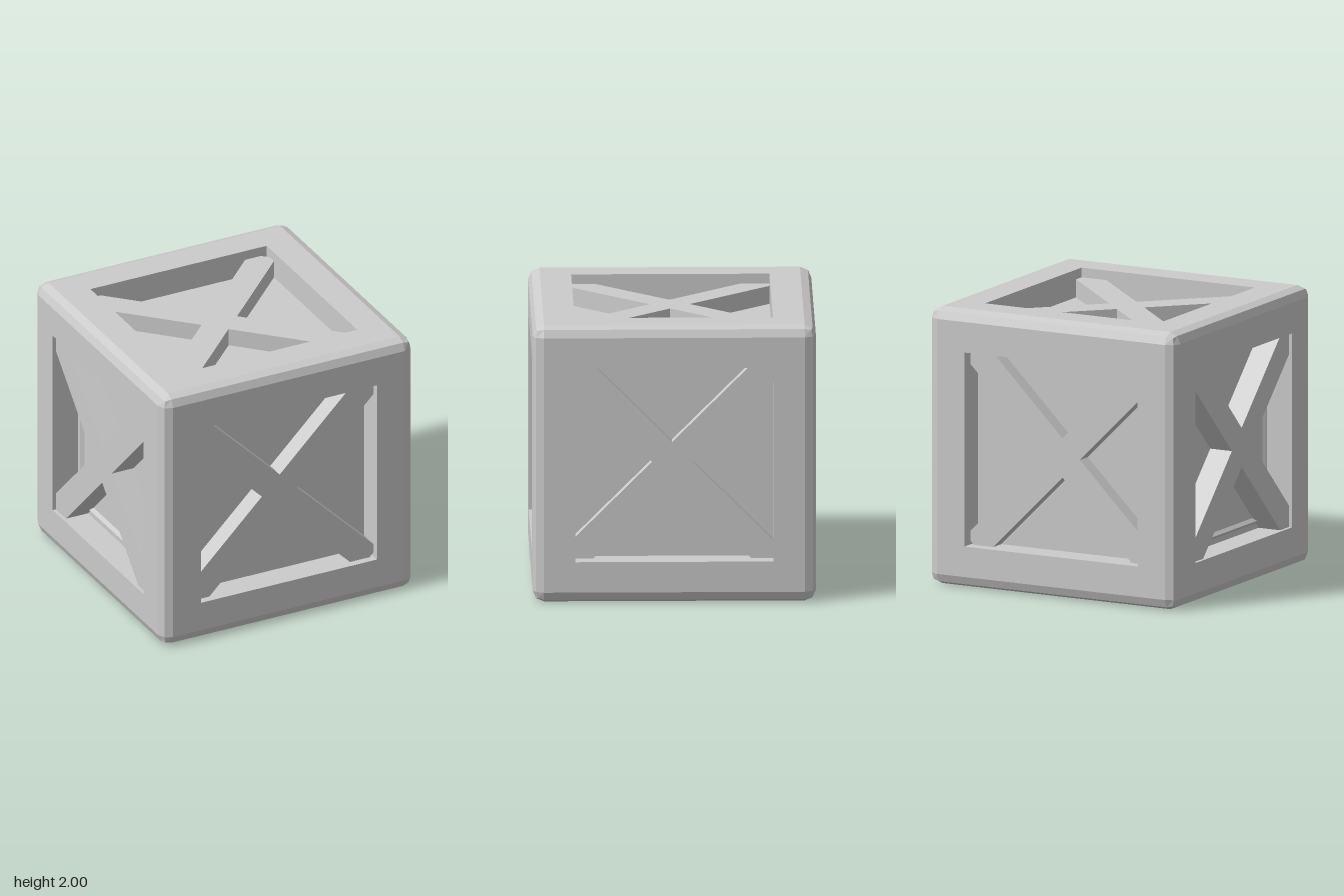
import * as THREE from 'three';
import { RoundedBoxGeometry } from 'three/addons/geometries/RoundedBoxGeometry.js';

const BEVEL = 0.08;          // edge bevel
const FLAT = 1 - BEVEL;      // half-size of each flat face
const OPENING = 0.7;         // half-size of each recess
const DEPTH = 0.2;           // recess depth

// Rotations carrying the +z face to all six sides
const SIDES = {
  front: [0, 0, 0],
  back: [0, Math.PI, 0],
  left: [0, Math.PI / 2, 0],
  right: [0, -Math.PI / 2, 0],
  top: [-Math.PI / 2, 0, 0],
  bottom: [Math.PI / 2, 0, 0],
};

const square = (Type, h) =>
  new Type([[-h, -h], [h, -h], [h, h], [-h, h]].map(([x, y]) => new THREE.Vector2(x, y)));

// Bevelled edges and corners: a rounded cube without its flat faces
function bevelGeometry() {
  const source = new RoundedBoxGeometry(2, 2, 2, 1, BEVEL);
  const p = (source.index ? source.toNonIndexed() : source).attributes.position;
  const kept = [];
  for (let i = 0; i < p.count; i += 3) {
    const tri = [0, 1, 2].map((k) => new THREE.Vector3().fromBufferAttribute(p, i + k));
    const mid = tri[0].clone().add(tri[1]).add(tri[2]).divideScalar(3);
    if (Math.max(Math.abs(mid.x), Math.abs(mid.y), Math.abs(mid.z)) < 0.9995) {
      tri.forEach((v) => kept.push(v.x, v.y, v.z));
    }
  }
  const geometry = new THREE.BufferGeometry();
  geometry.setAttribute('position', new THREE.Float32BufferAttribute(kept, 3));
  geometry.computeVertexNormals();
  return geometry;
}

export function createModel() {
  const material = new THREE.MeshStandardMaterial({ color: 0xcccccc, flatShading: true });
  const model = new THREE.Group();
  model.name = 'crate';
  const body = new THREE.Group();
  body.name = 'crateBody';
  body.position.y = 1;
  model.add(body);

  const add = (parent, name, geometry) => {
    const mesh = new THREE.Mesh(geometry, material);
    mesh.name = name;
    parent.add(mesh);
    return mesh;
  };

  add(body, 'bevelledEdges', bevelGeometry());

  // Inner box whose sides are the recessed panels
  const inner = 2 * (1 - DEPTH);
  add(body, 'panels', new THREE.BoxGeometry(inner, inner, inner));

  // Square frame around each recess
  const outline = square(THREE.Shape, FLAT);
  outline.holes.push(square(THREE.Path, OPENING));
  const frameGeometry = new THREE.ExtrudeGeometry(outline, { depth: DEPTH, bevelEnabled: false });
  frameGeometry.translate(0, 0, 1 - DEPTH);
  for (const [side, rotation] of Object.entries(SIDES)) {
    add(body, side + 'Frame', frameGeometry).rotation.set(...rotation);
  }

  // Crossed braces running through the crate on each axis, slightly off centre
  const braces = new THREE.Group();
  braces.name = 'braces';
  braces.position.set(-0.045, 0, 0.015);
  body.add(braces);
  const braceGeometry = new THREE.BoxGeometry(2, 0.2, 1.86);
  for (const side of ['front', 'left', 'top']) {
    const cross = new THREE.Group();
    cross.name = side + 'Cross';
    cross.rotation.set(...SIDES[side]);
    braces.add(cross);
    for (const sign of [-1, 1]) {
      add(cross, 'brace', braceGeometry).rotation.z = sign * Math.PI / 4;
    }
  }
  return model;
}
